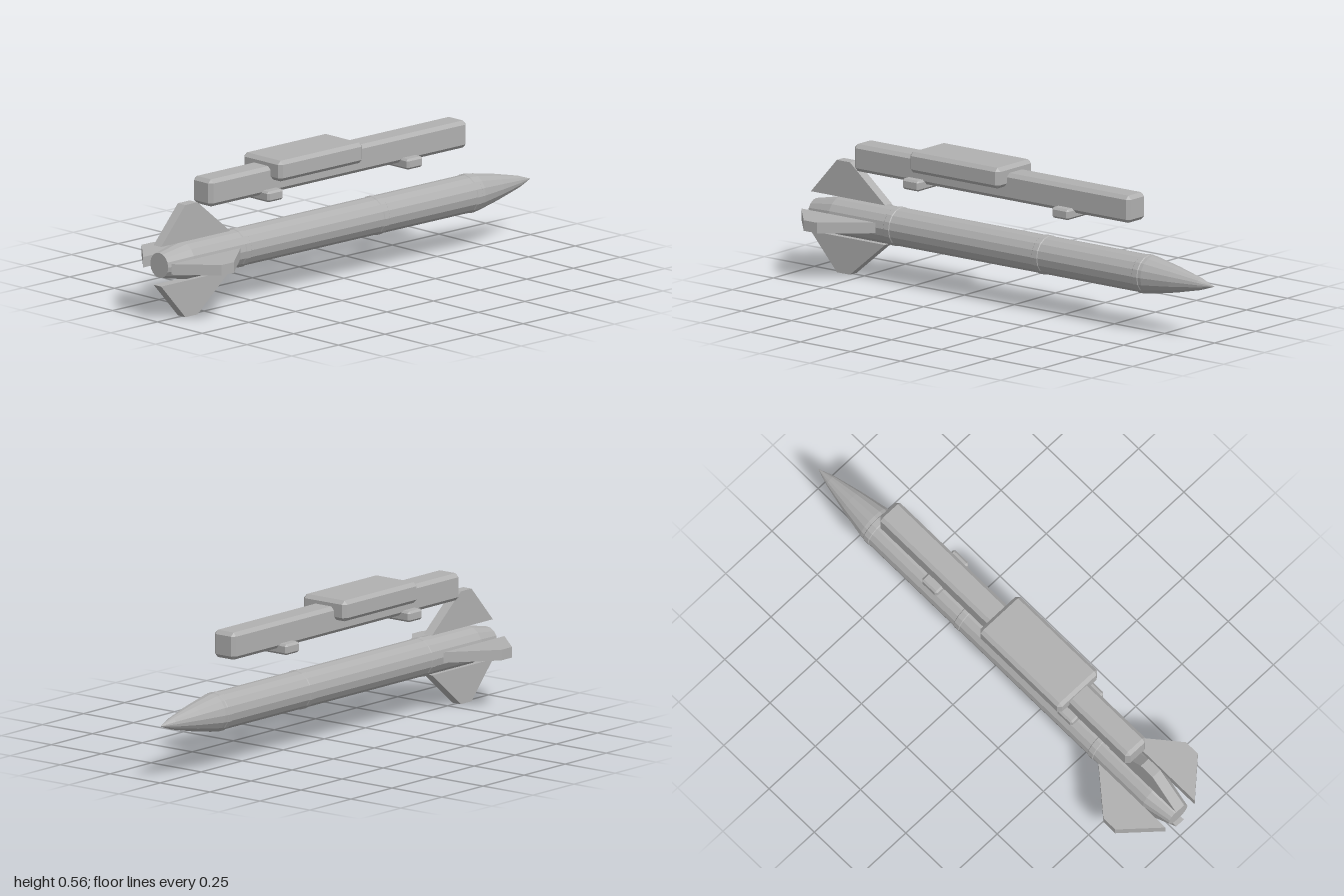
import * as THREE from 'three';
import { ConvexGeometry } from 'three/addons/geometries/ConvexGeometry.js';

const grey = new THREE.MeshStandardMaterial({ color: 0xb0b0b0, flatShading: true });
grey.name = 'grey';

const AXIS_Y = 0.2235;
const SIDES = 16;

function add(parent, name, geometry) {
  const mesh = new THREE.Mesh(geometry, grey);
  mesh.name = name;
  parent.add(mesh);
  return mesh;
}

// Solid of revolution along z; profile is [radius, z] with z rising
function turned(profile) {
  const points = profile.map(([r, z]) => new THREE.Vector2(r, z));
  return new THREE.LatheGeometry(points, SIDES).rotateX(Math.PI / 2);
}

// Box with every edge cut at 45 degrees, given by its limits
function chamferedBox(halfWidth, y0, y1, z0, z1, cut) {
  const half = [halfWidth, (y1 - y0) / 2, (z1 - z0) / 2];
  const points = [];
  for (let axis = 0; axis < 3; axis++)
    for (const sx of [-1, 1]) for (const sy of [-1, 1]) for (const sz of [-1, 1]) {
      const p = half.map((h, i) => (i === axis ? h : h - cut));
      points.push(new THREE.Vector3(sx * p[0], sy * p[1], sz * p[2]));
    }
  return new ConvexGeometry(points).translate(0, (y0 + y1) / 2, (z0 + z1) / 2);
}

export function createModel() {
  const model = new THREE.Group();
  model.name = 'finnedTubeWithRail';

  // Tapered tube with pointed nose at the back end (-z)
  const tube = new THREE.Group();
  tube.name = 'tube';
  tube.position.y = AXIS_Y;
  model.add(tube);
  add(tube, 'nose', turned([[0, -1], [0.024, -0.93], [0.052, -0.81], [0.075, -0.69]]));
  add(tube, 'body', turned([[0.075, -0.69], [0.075, 0.87]]));
  add(tube, 'tail', turned([[0.075, 0.87], [0.05, 0.99], [0, 0.99]]));

  // Slightly raised joint bands
  for (const z of [-0.66, -0.16, 0.58])
    add(tube, 'jointBand', turned([
      [0.074, z - 0.016], [0.0775, z - 0.012], [0.0775, z + 0.012], [0.074, z + 0.016],
    ]));

  // Four thick swept fins, standing just clear of the tail
  const outline = new THREE.Shape([
    [0.63, 0.079], [1, 0.079], [0.87, 0.2235], [0.805, 0.2235],
  ].map(([z, r]) => new THREE.Vector2(z, r)));
  const finGeometry = new THREE.ExtrudeGeometry(outline, { depth: 0.042, bevelEnabled: false })
    .translate(0, 0, -0.021).rotateY(-Math.PI / 2);
  for (let i = 0; i < 4; i++)
    add(tube, 'fin', finGeometry).rotation.z = i * Math.PI / 2;

  // Overhead rail, its mounting block and two hanging lugs
  add(model, 'rail', chamferedBox(0.0535, 0.424, 0.532, -0.615, 0.765, 0.0145));
  add(model, 'mountingBlock', chamferedBox(0.108, 0.478, 0.56, -0.006, 0.444, 0.0145));
  for (const z of [-0.298, 0.449])
    add(model, 'lug', chamferedBox(0.09, 0.402, 0.444, z - 0.042, z + 0.042, 0.008));

  return model;
}
